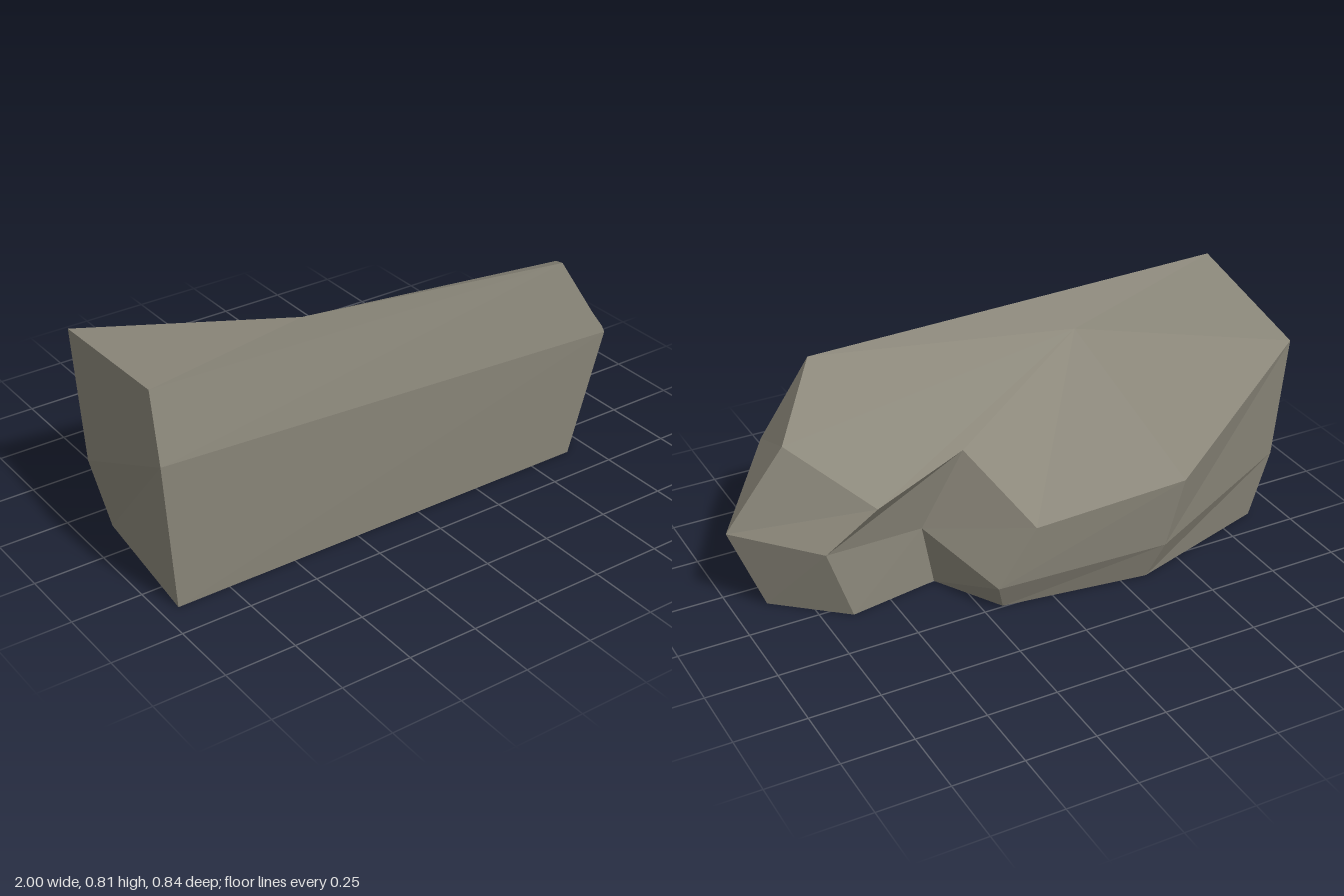
import * as THREE from 'three';

// Eight corners per ring, running front-left, front-right, then round the back; the fifth is the notch.
const base = [[-0.94, 0, 0.375], [0.665, 0, 0.375], [0.88, 0, 0.145], [0.646, 0, -0.055],
  [0.32, 0, 0], [0.18, 0, -0.245], [-0.345, 0, -0.315], [-0.885, 0, -0.147]];
const middle = [[-1, 0.56, 0.42], [0.76, 0.475, 0.42], [1, 0.31, 0.155], [0.74, 0.275, -0.07],
  [0.365, 0.235, -0.01], [0.22, 0.11, -0.295], [-0.38, 0.15, -0.375], [-0.94, 0.26, -0.18]];
const rim = [[-1, 0.805, 0.375], [0.59, 0.768, 0.375], [0.8, 0.612, 0.11], [0.57, 0.43, -0.118],
  [0.23, 0.53, -0.06], [0.1, 0.34, -0.337], [-0.42, 0.42, -0.42], [-0.95, 0.73, -0.23]];
const crown = [-0.32, 0.75, 0.165];

export function createModel() {
  const group = new THREE.Group();
  group.name = 'boulder';
  const stone = new THREE.MeshStandardMaterial({ color: 0x8c887b });
  stone.name = 'warm grey stone';

  const points = [];
  const tri = (a, b, c) => points.push(...a, ...b, ...c);
  const n = base.length;

  // sloping sides
  for (const [low, high] of [[base, middle], [middle, rim]]) {
    for (let i = 0; i < n; i++) {
      const j = (i + 1) % n;
      tri(low[i], low[j], high[j]);
      tri(low[i], high[j], high[i]);
    }
  }
  // faceted top
  for (let i = 0; i < n; i++) tri(rim[i], rim[(i + 1) % n], crown);
  // flat underside, concave at the notch
  const outline = base.map(([x, , z]) => new THREE.Vector2(x, -z));
  for (const [a, b, c] of THREE.ShapeUtils.triangulateShape(outline, [])) tri(base[a], base[c], base[b]);

  const geometry = new THREE.BufferGeometry();
  geometry.setAttribute('position', new THREE.Float32BufferAttribute(points, 3));
  geometry.computeVertexNormals();
  const rock = new THREE.Mesh(geometry, stone);
  rock.name = 'rock';
  group.add(rock);
  return group;
}
